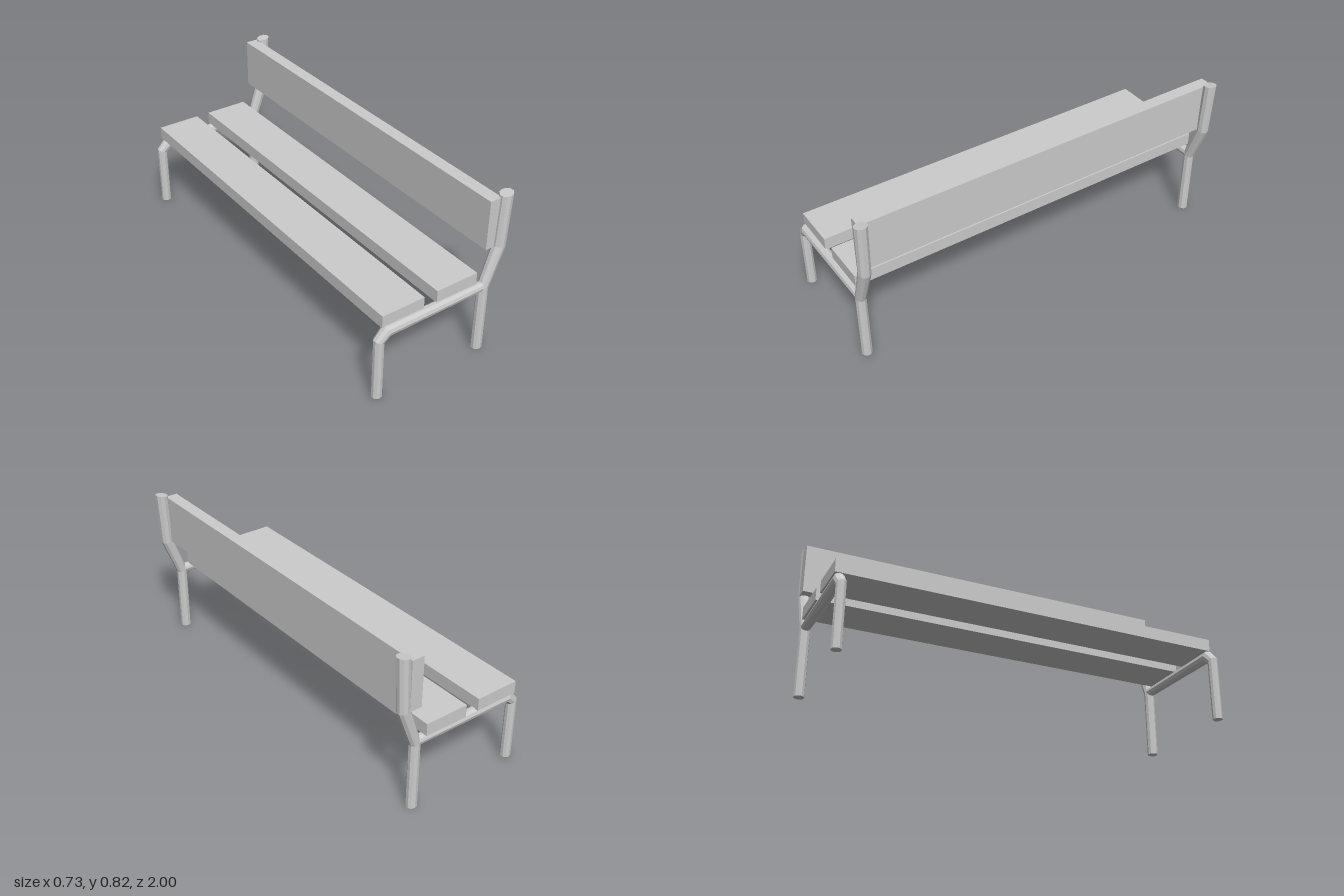
import * as THREE from 'three';

const material = new THREE.MeshStandardMaterial({ color: 0xcccccc, flatShading: true });
const SIDES = 10;

// Mitred tube in the xy plane; each point is [x, y, radius, optional cut direction]
function mitredTube(points) {
  const positions = [], index = [];
  const last = points.length - 1;
  const at = (i) => new THREE.Vector2(points[i][0], points[i][1]);
  points.forEach(([x, y, r, cut], i) => {
    const before = at(Math.max(i, 1)).sub(at(Math.max(i, 1) - 1)).normalize();
    const after = at(Math.min(i, last - 1) + 1).sub(at(Math.min(i, last - 1))).normalize();
    const mid = before.clone().add(after).normalize();
    const stretch = r / mid.dot(before);
    const across = cut
      ? new THREE.Vector2(...cut).normalize().multiplyScalar(r)
      : new THREE.Vector2(-mid.y, mid.x).multiplyScalar(stretch);
    for (let j = 0; j < SIDES; j++) {
      const a = ((j + 0.5) / SIDES) * Math.PI * 2;
      const c = Math.cos(a) / Math.cos(Math.PI / SIDES); // keeps the full width across the flats
      positions.push(x + across.x * c, y + across.y * c, r * Math.sin(a));
    }
  });
  for (let i = 0; i < last; i++) {
    for (let j = 0; j < SIDES; j++) {
      const k = (j + 1) % SIDES, a = i * SIDES, b = a + SIDES;
      index.push(a + j, a + k, b + k, a + j, b + k, b + j);
    }
  }
  // End caps
  for (let j = 1; j < SIDES - 1; j++) {
    const e = last * SIDES;
    index.push(0, j + 1, j, e, e + j, e + j + 1);
  }
  const geometry = new THREE.BufferGeometry();
  geometry.setAttribute('position', new THREE.Float32BufferAttribute(positions, 3));
  geometry.setIndex(index);
  const flat = geometry.toNonIndexed();
  flat.computeVertexNormals();
  return flat;
}

function addMesh(parent, name, geometry) {
  const mesh = new THREE.Mesh(geometry, material);
  mesh.name = name;
  parent.add(mesh);
  return mesh;
}

function addPlank(parent, name, x0, x1, y0, y1) {
  const z0 = -0.995, z1 = 0.967;
  addMesh(parent, name, new THREE.BoxGeometry(x1 - x0, y1 - y0, z1 - z0))
    .position.set((x0 + x1) / 2, (y0 + y1) / 2, (z0 + z1) / 2);
}

export function createModel() {
  const bench = new THREE.Group();
  bench.name = 'bench';

  // Tubular end frames
  const legAndRail = mitredTube([
    [-0.339, 0.005, 0.0245], [-0.339, 0.317, 0.0245],
    [-0.3, 0.356, 0.028], [0.246, 0.355, 0.0235],
  ]);
  const backPost = mitredTube([
    [0.246, 0, 0.026], [0.246, 0.347, 0.026],
    [0.319, 0.547, 0.03], [0.331, 0.816, 0.0315, [-0.99, -0.15]],
  ]);
  for (const side of [-1, 1]) {
    const frame = new THREE.Group();
    frame.name = side < 0 ? 'rightEndFrame' : 'leftEndFrame';
    frame.position.z = side * 0.967;
    addMesh(frame, 'frontLegAndSeatRail', legAndRail);
    addMesh(frame, 'rearLegAndBackPost', backPost);
    bench.add(frame);
  }

  // Planks
  addPlank(bench, 'frontSeatPlank', -0.324, -0.096, 0.378, 0.441);
  addPlank(bench, 'rearSeatPlank', -0.024, 0.205, 0.378, 0.441);
  addPlank(bench, 'backrestPlank', 0.243, 0.307, 0.548, 0.8);

  return bench;
}
